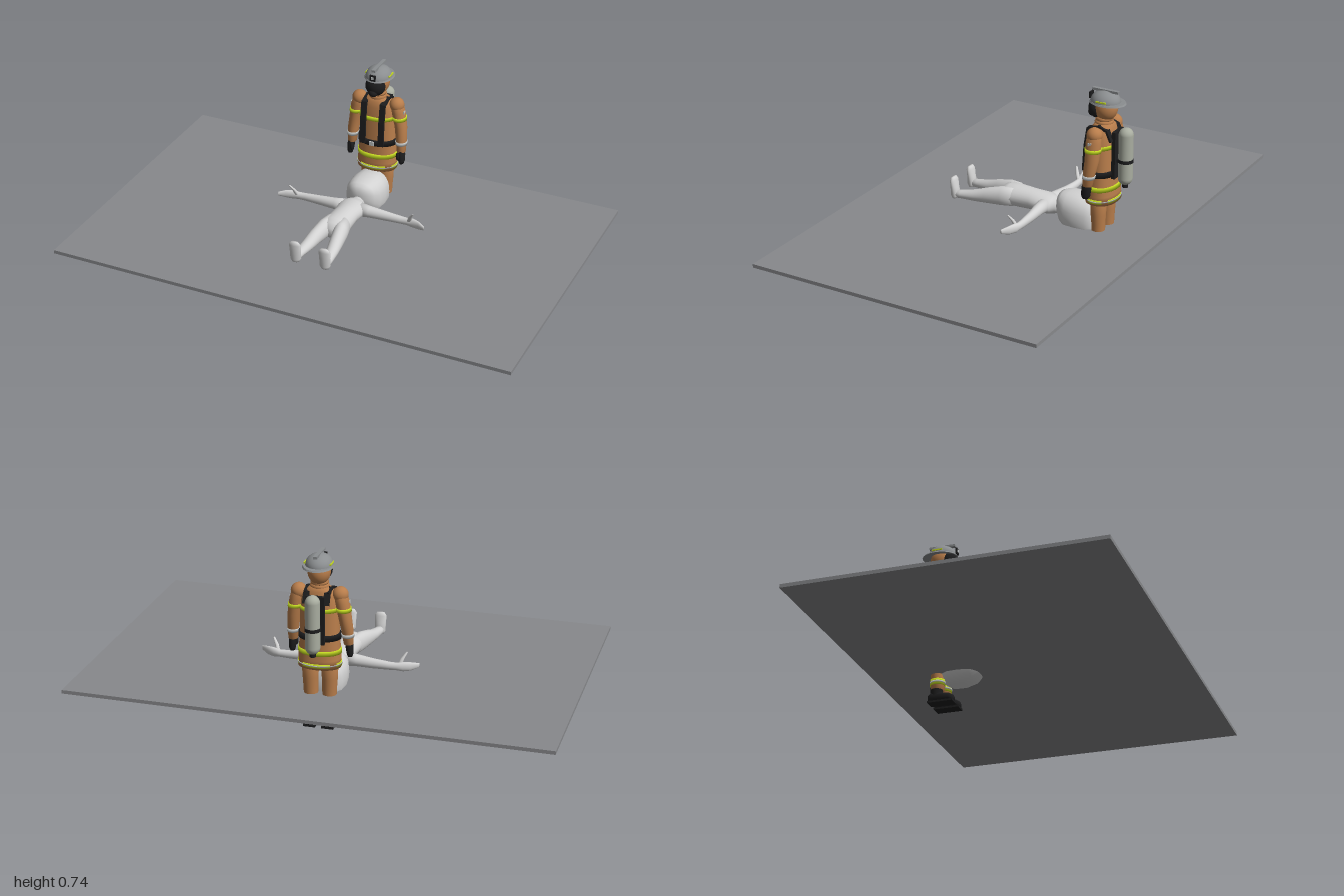
import * as THREE from 'three';

const mat = (name, color) => Object.assign(new THREE.MeshStandardMaterial({ color }), { name });

export function createModel() {
  const model = new THREE.Group();
  model.name = 'rescueScene';
  const floorGrey = mat('floorGrey', 0x88898c), skin = mat('dummyGrey', 0xd2d2d2);
  const tan = mat('tanFabric', 0xb87d4b), black = mat('blackRubber', 0x1d1d1e);
  const lime = mat('limeReflective', 0xc6dc22), silver = mat('silverReflective', 0xc2c6c6);
  const helmetGrey = mat('helmetGrey', 0x8b8e90), tankGrey = mat('tankGrey', 0xa9ada0);

  const rescuer = new THREE.Group(), dummy = new THREE.Group();
  rescuer.name = 'firefighter';
  dummy.name = 'lyingFigure';
  model.add(rescuer, dummy);

  const add = (parent, name, geo, material, x = 0, y = 0, z = 0) => {
    const m = new THREE.Mesh(geo, material);
    m.name = name;
    m.position.set(x, y, z);
    parent.add(m);
    return m;
  };
  const box = (parent, name, m, w, h, d, x, y, z) => add(parent, name, new THREE.BoxGeometry(w, h, d), m, x, y, z);
  const ball = (parent, name, m, rx, ry, rz, x, y, z) =>
    add(parent, name, new THREE.SphereGeometry(1, 28, 18).scale(rx, ry, rz), m, x, y, z);

  // Smooth skin through rounded cross-sections [x, y, z, radiusU, radiusV] along an axis.
  // Sections ascend along the axis; U and V are the next two axes in x, y, z order.
  function loft(axis, sections, power = 2, seg = 28) {
    const pos = [], idx = [], k = 'xyz'.indexOf(axis), u = (k + 1) % 3, v = (k + 2) % 3;
    const sgn = (t) => Math.sign(t) * Math.abs(t) ** (2 / power);
    for (const s of sections) {
      for (let i = 0; i < seg; i++) {
        const a = (i / seg) * Math.PI * 2, p = s.slice(0, 3);
        p[u] += s[3] * sgn(Math.cos(a));
        p[v] += s[4] * sgn(Math.sin(a));
        pos.push(...p);
      }
    }
    const n = sections.length;
    for (let r = 0; r < n - 1; r++) {
      for (let i = 0; i < seg; i++) {
        const a = r * seg + i, b = r * seg + (i + 1) % seg;
        idx.push(a, b, b + seg, a, b + seg, a + seg);
      }
    }
    // End caps
    pos.push(...sections[0].slice(0, 3), ...sections[n - 1].slice(0, 3));
    for (let i = 0; i < seg; i++) {
      const j = (i + 1) % seg, t = (n - 1) * seg;
      idx.push(n * seg, j, i, n * seg + 1, t + i, t + j);
    }
    const g = new THREE.BufferGeometry();
    g.setAttribute('position', new THREE.Float32BufferAttribute(pos, 3));
    g.setIndex(idx);
    g.computeVertexNormals();
    return g;
  }

  // Upright sections written as [y, x, z, radiusX, radiusZ]
  const upright = (rows, side = 1) => rows.map(([y, x, z, rx, rz]) => [x * side, y, z, rz, rx]);

  // Thin band hugging an upright loft between two heights
  function band(name, sections, y0, y1, material, grow = 0.003) {
    const at = (y) => {
      let i = 0;
      while (i < sections.length - 2 && sections[i + 1][1] < y) i++;
      const a = sections[i], b = sections[i + 1], t = (y - a[1]) / (b[1] - a[1]);
      return a.map((q, j) => q + (b[j] - q) * t + (j > 2 ? grow : 0));
    };
    add(rescuer, name, loft('y', [at(y0), at(y1)]), material);
  }
  const tape = (name, s, y, h = 0.008) => {
    band(name + 'Lime', s, y - h, y + h, lime);
    band(name + 'Silver', s, y - h * 0.3, y + h * 0.3, silver, 0.004);
  };

  // Floor slab
  box(model, 'floorSlab', floorGrey, 2, 0.015, 1.28, 0, 0.1325, 0);

  // Firefighter coat
  const coat = upright([
    [0.264, 0, -0.375, 0.087, 0.064], [0.3, 0, -0.375, 0.086, 0.062], [0.4, 0, -0.374, 0.08, 0.056],
    [0.5, 0, -0.373, 0.078, 0.054], [0.56, 0, -0.373, 0.073, 0.05], [0.585, 0, -0.374, 0.058, 0.043],
    [0.6, 0, -0.375, 0.034, 0.034]]);
  add(rescuer, 'coat', loft('y', coat, 2.3), tan);
  tape('hemTape', coat, 0.28);
  band('skirtTape', coat, 0.322, 0.342, lime, 0.004);
  band('chestTape', coat, 0.5, 0.517, lime, 0.004);
  band('belt', coat, 0.383, 0.408, black, 0.006);
  box(rescuer, 'beltBuckle', silver, 0.022, 0.018, 0.006, 0, 0.395, -0.309);

  // Collar rolls, hood and mask
  for (const [y, r] of [[0.6, 0.028], [0.615, 0.025]])
    add(rescuer, 'collarRoll', new THREE.TorusGeometry(r, 0.011, 10, 28).rotateX(Math.PI / 2), tan, 0, y, -0.373);
  ball(rescuer, 'hood', tan, 0.046, 0.056, 0.05, 0, 0.662, -0.379);
  ball(rescuer, 'faceMask', black, 0.043, 0.043, 0.036, 0, 0.655, -0.343);
  ball(rescuer, 'breathingValve', black, 0.02, 0.018, 0.02, 0, 0.632, -0.322);

  // Helmet
  add(rescuer, 'helmetDome', new THREE.SphereGeometry(1, 32, 12, 0, Math.PI * 2, 0, Math.PI / 2)
    .scale(0.055, 0.048, 0.063), helmetGrey, 0, 0.686, -0.378);
  add(rescuer, 'helmetBrim', new THREE.CylinderGeometry(0.95, 1, 0.006, 36).scale(0.062, 1, 0.077),
    helmetGrey, 0, 0.686, -0.388);
  box(rescuer, 'helmetComb', helmetGrey, 0.016, 0.01, 0.115, 0, 0.732, -0.378);
  box(rescuer, 'helmetFrontPlate', black, 0.026, 0.026, 0.007, 0, 0.704, -0.313);
  box(rescuer, 'helmetFrontMark', silver, 0.01, 0.012, 0.004, 0, 0.705, -0.309);
  for (const s of [1, -1])
    box(rescuer, 'helmetSideMark', lime, 0.006, 0.006, 0.045, s * 0.052, 0.698, -0.383);

  for (const s of [1, -1]) {
    // Trouser leg
    const leg = upright([
      [0.06, 0.038, -0.373, 0.029, 0.029], [0.11, 0.038, -0.373, 0.028, 0.028], [0.17, 0.039, -0.374, 0.03, 0.029],
      [0.21, 0.04, -0.374, 0.032, 0.031], [0.29, 0.04, -0.375, 0.036, 0.035]], s);
    add(rescuer, 'trouserLeg', loft('y', leg), tan);
    tape('cuffTape', leg, 0.09, 0.013);

    // Boot
    box(rescuer, 'bootSole', black, 0.05, 0.008, 0.108, s * 0.038, 0.004, -0.355);
    add(rescuer, 'bootFoot', loft('z', [
      [s * 0.038, 0.022, -0.408, 0.018, 0.018], [s * 0.038, 0.025, -0.395, 0.025, 0.022],
      [s * 0.038, 0.024, -0.35, 0.026, 0.021], [s * 0.038, 0.021, -0.318, 0.027, 0.018],
      [s * 0.038, 0.018, -0.304, 0.019, 0.013]], 2.6), black);
    add(rescuer, 'bootShaft', new THREE.CylinderGeometry(0.026, 0.024, 0.05, 24), black, s * 0.038, 0.042, -0.377);

    // Sleeve, tapes and shoulder
    const sleeve = upright([
      [0.36, 0.114, -0.362, 0.019, 0.021], [0.42, 0.111, -0.369, 0.024, 0.026], [0.47, 0.105, -0.376, 0.026, 0.03],
      [0.54, 0.093, -0.376, 0.029, 0.033], [0.585, 0.084, -0.375, 0.024, 0.027]], s);
    add(rescuer, 'sleeve', loft('y', sleeve), tan);
    ball(rescuer, 'shoulder', tan, 0.032, 0.032, 0.032, s * 0.085, 0.57, -0.375);
    band('upperSleeveTape', sleeve, 0.503, 0.518, lime);
    band('lowerSleeveTape', sleeve, 0.392, 0.406, silver);
    box(rescuer, 'sleevePatch', silver, 0.006, 0.014, 0.016, s * 0.119, 0.54, -0.372);

    // Glove
    add(rescuer, 'glove', loft('y', upright([
      [0.305, 0.119, -0.356, 0.009, 0.013], [0.318, 0.119, -0.357, 0.013, 0.02],
      [0.345, 0.117, -0.359, 0.015, 0.021], [0.38, 0.114, -0.362, 0.016, 0.018]], s)), black);
    ball(rescuer, 'gloveThumb', black, 0.008, 0.019, 0.008, s * 0.107, 0.342, -0.341);

    // Harness strap running over the shoulder
    const path = [[0.54, -0.428], [0.58, -0.41], [0.593, -0.375], [0.578, -0.326], [0.5, -0.314], [0.395, -0.308]];
    for (let i = 0; i < path.length - 1; i++) {
      const [y0, z0] = path[i], [y1, z1] = path[i + 1];
      box(rescuer, 'harnessStrap', black, 0.025, 0.009, Math.hypot(y1 - y0, z1 - z0) + 0.006,
        s * 0.042, (y0 + y1) / 2, (z0 + z1) / 2).rotation.x = -Math.atan2(y1 - y0, z1 - z0);
    }
  }

  // Air tank with back plate
  box(rescuer, 'backPlate', black, 0.075, 0.2, 0.016, 0, 0.475, -0.435);
  add(rescuer, 'airTank', new THREE.CapsuleGeometry(0.03, 0.185, 10, 28), tankGrey, 0, 0.469, -0.472);
  add(rescuer, 'tankStrap', new THREE.CylinderGeometry(0.032, 0.032, 0.014, 28), black, 0, 0.452, -0.472);
  box(rescuer, 'tankBracket', black, 0.05, 0.014, 0.03, 0, 0.452, -0.445);
  add(rescuer, 'tankValve', new THREE.CylinderGeometry(0.012, 0.012, 0.022, 20), black, 0, 0.346, -0.472);

  // Lying figure: head and torso
  add(dummy, 'head', loft('z', [
    [0, 0.17, -0.362, 0.038, 0.048], [0, 0.17, -0.352, 0.062, 0.073], [0, 0.172, -0.325, 0.078, 0.09],
    [0, 0.174, -0.275, 0.083, 0.092], [0, 0.18, -0.23, 0.079, 0.086], [0, 0.193, -0.2, 0.066, 0.068],
    [0, 0.203, -0.182, 0.046, 0.05], [0, 0.204, -0.173, 0.022, 0.028]], 2.4), skin);
  add(dummy, 'torso', loft('z', [
    [0, 0.178, -0.2, 0.027, 0.028], [0, 0.178, -0.163, 0.029, 0.03], [0, 0.18, -0.147, 0.05, 0.035],
    [0, 0.183, -0.12, 0.063, 0.04], [0, 0.185, -0.05, 0.053, 0.043], [0, 0.186, 0.02, 0.057, 0.046],
    [0, 0.186, 0.06, 0.063, 0.045], [0, 0.185, 0.085, 0.052, 0.038], [0, 0.182, 0.1, 0.02, 0.02]]), skin);

  for (const s of [1, -1]) {
    // Leg and upturned foot
    add(dummy, 'leg', loft('z', [
      [s * 0.03, 0.186, 0.03, 0.028, 0.04], [s * 0.037, 0.184, 0.08, 0.032, 0.042], [s * 0.049, 0.175, 0.15, 0.029, 0.033],
      [s * 0.056, 0.166, 0.2, 0.026, 0.025], [s * 0.064, 0.16, 0.26, 0.021, 0.018], [s * 0.066, 0.158, 0.29, 0.019, 0.017]]), skin);
    add(dummy, 'foot', loft('y', upright([
      [0.14, 0.066, 0.292, 0.016, 0.011], [0.153, 0.066, 0.289, 0.023, 0.02], [0.19, 0.066, 0.294, 0.024, 0.015],
      [0.22, 0.066, 0.297, 0.026, 0.013], [0.233, 0.066, 0.298, 0.016, 0.008]], s)), skin);

    // Outstretched arm with hand and thumb
    const arm = [
      [0.04, 0.185, -0.118, 0.03, 0.028], [0.08, 0.184, -0.118, 0.025, 0.024], [0.15, 0.18, -0.122, 0.021, 0.018],
      [0.22, 0.178, -0.123, 0.017, 0.014], [0.25, 0.178, -0.122, 0.016, 0.013], [0.275, 0.179, -0.119, 0.02, 0.013],
      [0.305, 0.18, -0.11, 0.018, 0.009], [0.335, 0.182, -0.093, 0.009, 0.005]].map((p) => [p[0] * s, ...p.slice(1)]);
    add(dummy, 'arm', loft('x', s > 0 ? arm : arm.reverse()), skin);
    add(dummy, 'thumb', loft('y', upright([
      [0.178, 0.257, -0.12, 0.01, 0.009], [0.21, 0.268, -0.107, 0.008, 0.007],
      [0.235, 0.284, -0.094, 0.004, 0.004]], s)), skin);
  }
  return model;
}
